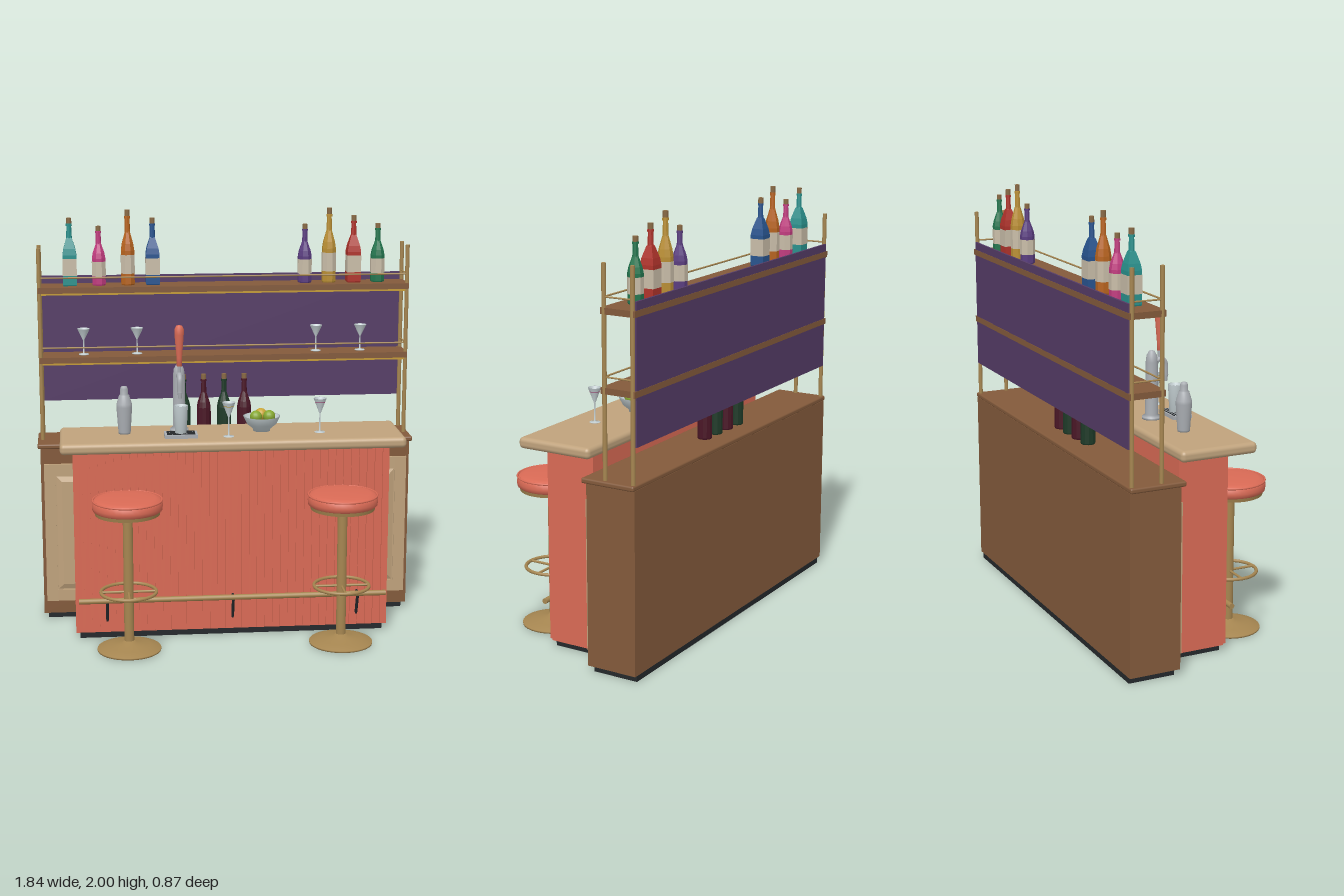
import * as THREE from 'three';
import { RoundedBoxGeometry } from 'three/addons/geometries/RoundedBoxGeometry.js';

const mat = (color, flatShading = false, side = THREE.FrontSide) =>
  new THREE.MeshStandardMaterial({ color, flatShading, side });
const CORAL = mat(0xd96a55), STONE = mat(0xbfa27c), WOOD = mat(0x835a3b), BRASS = mat(0xa58550),
  PURPLE = mat(0x553c66), DARK = mat(0x24282b), STEEL = mat(0xa9adb2), GOLD = mat(0xc39a35),
  CREAM = mat(0xc9bda8, true), CORK = mat(0x8a6a45), GLASS = mat(0xc2cdd0, false, THREE.DoubleSide);

function add(parent, name, geo, material, x = 0, y = 0, z = 0) {
  const m = new THREE.Mesh(geo, material);
  m.name = name;
  m.position.set(x, y, z);
  parent.add(m);
  return m;
}
function group(parent, name, x = 0, y = 0, z = 0) {
  const g = new THREE.Group();
  g.name = name;
  g.position.set(x, y, z);
  parent.add(g);
  return g;
}
// Box given by its limits on each axis
const box = (p, name, m, x0, x1, y0, y1, z0, z1) =>
  add(p, name, new THREE.BoxGeometry(x1 - x0, y1 - y0, z1 - z0), m, (x0 + x1) / 2, (y0 + y1) / 2, (z0 + z1) / 2);
const lathe = (pts, seg = 24) => new THREE.LatheGeometry(pts.map(([r, y]) => new THREE.Vector2(r, y)), seg);
// Round bar between two points
function rod(p, name, m, a, b, r, seg = 10) {
  const A = new THREE.Vector3(...a), d = new THREE.Vector3(...b).sub(A);
  const o = add(p, name, new THREE.CylinderGeometry(r, r, d.length(), seg), m);
  o.position.copy(A).addScaledVector(d, 0.5);
  o.quaternion.setFromUnitVectors(new THREE.Vector3(0, 1, 0), d.normalize());
  return o;
}

// Faceted bottle: square or many-sided body, label, neck and cork
function bottle(parent, x, y, z, h, color, sides, label = true) {
  const g = group(parent, 'bottle', x, y, z), k = sides === 4 ? 1.34 : 1, r = 0.035 * k;
  const m = mat(color, true);
  const body = add(g, 'bottleBody', lathe([[0, 0], [r * 0.93, 0], [r, 0.006], [r, h * 0.46], [r * 0.85, h * 0.55],
    [0.014 * k, h * 0.7], [0.012, h * 0.72], [0, h * 0.72]], sides), m);
  body.rotation.y = Math.PI / sides;
  add(g, 'neck', new THREE.CylinderGeometry(0.011, 0.014, h * 0.26, 8), m, 0, h * 0.8, 0);
  add(g, 'collar', new THREE.CylinderGeometry(0.0145, 0.0145, h * 0.03, 8), m, 0, h * 0.9, 0);
  add(g, 'cork', new THREE.CylinderGeometry(0.0125, 0.0125, h * 0.08, 8), CORK, 0, h * 0.96, 0);
  if (label) {
    const band = add(g, 'label', new THREE.CylinderGeometry(r + 0.001, r + 0.001, h * 0.25, sides, 1, true), CREAM, 0, h * 0.28, 0);
    band.rotation.y = Math.PI / sides;
  }
}

// Stemmed cocktail glass, optionally filled
function cocktailGlass(parent, x, y, z, h, drink) {
  const g = group(parent, 'cocktailGlass', x, y, z);
  add(g, 'glass', lathe([[0, 0], [0.025, 0], [0.025, 0.003], [0.004, 0.008], [0.003, h * 0.55], [0.031, h],
    [0.029, h], [0, h * 0.58]], 20), GLASS);
  if (drink) add(g, 'drink', new THREE.CylinderGeometry(0.025, 0.004, h * 0.28, 20), mat(drink), 0, h * 0.76, 0);
}

function stool(parent, x) {
  const g = group(parent, 'stool', x, 0, 0.27);
  add(g, 'base', lathe([[0, 0], [0.15, 0], [0.15, 0.008], [0.1, 0.022], [0.035, 0.033], [0.024, 0.045], [0, 0.045]], 32), BRASS);
  add(g, 'pole', new THREE.CylinderGeometry(0.023, 0.023, 0.62, 20), BRASS, 0, 0.345, 0);
  add(g, 'seatPlate', lathe([[0, 0.645], [0.065, 0.645], [0.07, 0.668], [0, 0.668]]), DARK);
  add(g, 'seatTrim', new THREE.CylinderGeometry(0.155, 0.15, 0.022, 32), BRASS, 0, 0.672, 0);
  add(g, 'seat', lathe([[0, 0.675], [0.15, 0.675], [0.162, 0.684], [0.164, 0.7], [0.162, 0.72],
    [0.152, 0.732], [0.13, 0.738], [0.07, 0.742], [0, 0.743]], 36), CORAL);
  const piping = add(g, 'seatPiping', new THREE.TorusGeometry(0.16, 0.005, 8, 36), CORAL, 0, 0.728, 0);
  const ring = add(g, 'footRing', new THREE.TorusGeometry(0.13, 0.008, 8, 36), BRASS, 0, 0.283, 0);
  piping.rotation.x = ring.rotation.x = Math.PI / 2;
  rod(g, 'ringSpoke', BRASS, [-0.13, 0.283, 0], [0.13, 0.283, 0], 0.006);
  rod(g, 'ringSpoke', BRASS, [0, 0.283, -0.13], [0, 0.283, 0.13], 0.006);
}

function barCounter(root) {
  const g = group(root, 'barCounter');
  box(g, 'plinth', DARK, -0.73, 0.73, 0, 0.035, -0.115, 0.1);
  box(g, 'body', CORAL, -0.75, 0.75, 0.03, 0.94, -0.123, 0.11);
  const n = 40, pitch = 1.5 / n;
  for (let i = 0; i < n; i++) {
    const x = -0.75 + pitch * (i + 0.5);
    box(g, 'slat', CORAL, x - 0.0145, x + 0.0145, 0.035, 0.935, 0.105, 0.123);
  }
  add(g, 'countertop', new RoundedBoxGeometry(1.615, 0.052, 0.375, 4, 0.02), STONE, 0, 0.96, 0.05);
  // Foot rail on angled brackets
  rod(g, 'footRail', BRASS, [-0.735, 0.203, 0.16], [0.735, 0.203, 0.16], 0.013, 16);
  for (const x of [-0.6, 0, 0.6]) {
    rod(g, 'railBracket', DARK, [x, 0.2, 0.16], [x, 0.09, 0.118], 0.007);
    rod(g, 'railBracket', DARK, [x, 0.203, 0.16], [x, 0.203, 0.118], 0.007);
  }
}

function backCabinet(root) {
  const g = group(root, 'backCabinet');
  box(g, 'plinth', DARK, -0.885, 0.885, 0, 0.03, -0.43, -0.21);
  box(g, 'carcass', WOOD, -0.905, 0.905, 0.03, 0.87, -0.434, -0.19);
  add(g, 'cabinetTop', new RoundedBoxGeometry(1.835, 0.024, 0.265, 2, 0.008), WOOD, 0, 0.88, -0.3025);
  [-0.675, -0.225, 0.225, 0.675].forEach((x) => {
    const d = group(g, 'door', x, 0.443, -0.19);
    box(d, 'doorPanel', STONE, -0.215, 0.215, -0.347, 0.347, 0, 0.008);
    // Raised centre with sloping edges
    const raised = new THREE.BoxGeometry(0.32, 0.58, 0.012), p = raised.attributes.position;
    for (let i = 0; i < p.count; i++)
      if (p.getZ(i) > 0) p.setXY(i, p.getX(i) - Math.sign(p.getX(i)) * 0.03, p.getY(i) - Math.sign(p.getY(i)) * 0.03);
    raised.computeVertexNormals();
    add(d, 'raisedPanel', raised, STONE, 0, 0, 0.012);
    for (const s of [-1, 1]) {
      box(d, 'doorMoulding', STONE, s * 0.1875 - 0.0275, s * 0.1875 + 0.0275, -0.347, 0.347, 0.004, 0.014);
      box(d, 'doorMoulding', STONE, -0.16, 0.16, s * 0.3185 - 0.0285, s * 0.3185 + 0.0285, 0.004, 0.014);
    }
    const kx = x < 0 ? 0.16 : -0.16;
    rod(d, 'knobStem', DARK, [kx, 0.11, 0.01], [kx, 0.11, 0.026], 0.004);
    add(d, 'knob', new THREE.SphereGeometry(0.009, 12, 8), DARK, kx, 0.11, 0.028);
  });
}

function shelving(root) {
  const g = group(root, 'shelving');
  for (const x of [-0.893, 0.893]) for (const z of [-0.28, -0.42])
    rod(g, 'post', BRASS, [x, 0.89, z], [x, 1.825, z], 0.01, 12);
  box(g, 'backPanel', PURPLE, -0.885, 0.885, 1.055, 1.675, -0.434, -0.424);
  for (const y of [1.27, 1.61]) {
    box(g, 'shelf', WOOD, -0.9, 0.9, y, y + 0.028, -0.4355, -0.265);
    box(g, 'shelfTrim', GOLD, -0.885, 0.885, y - 0.009, y, -0.277, -0.268);
    // Gallery rail around the shelf
    const r = y + 0.073;
    rod(g, 'galleryRail', BRASS, [-0.893, r, -0.28], [0.893, r, -0.28], 0.004);
    for (const x of [-0.893, 0.893]) rod(g, 'galleryRail', BRASS, [x, r, -0.28], [x, r, -0.42], 0.004);
  }
  [[-0.745, 0.325, 0x2a918d, 4], [-0.605, 0.285, 0xc23c80, 8], [-0.465, 0.362, 0xb8641f, 8], [-0.345, 0.322, 0x28548f, 4],
    [0.398, 0.285, 0x5a3d80, 8], [0.517, 0.362, 0xba8f34, 8], [0.638, 0.325, 0xb0332b, 4], [0.758, 0.285, 0x23764f, 8]]
    .forEach(([x, h, c, s]) => bottle(g, x, 1.638, -0.35, h, c, s));
  [-0.685, -0.425, 0.457, 0.677].forEach((x) => cocktailGlass(g, x, 1.298, -0.345, 0.128));
  [-0.202, -0.102, -0.002, 0.098].forEach((x, i) =>
    bottle(g, x, 0.892, -0.31, 0.305, i % 2 ? 0x4a1626 : 0x1e3a28, 12, false));
}

function beerTap(root) {
  const g = group(root, 'beerTap', -0.243, 0.985, 0);
  box(g, 'dripTray', STEEL, -0.077, 0.077, 0, 0.018, 0.07, 0.165);
  for (let i = 0; i < 6; i++) box(g, 'trayGrille', DARK, -0.066, 0.066, 0.017, 0.02, 0.078 + i * 0.014, 0.083 + i * 0.014);
  add(g, 'column', lathe([[0, 0], [0.045, 0], [0.045, 0.012], [0.03, 0.022], [0.028, 0.27], [0.024, 0.3], [0.013, 0.32], [0, 0.325]]), STEEL, 0, 0, -0.005);
  const path = new THREE.CatmullRomCurve3([[0, 0.25, 0], [0, 0.28, 0.035], [0, 0.265, 0.06], [0, 0.2, 0.066]].map((v) => new THREE.Vector3(...v)));
  add(g, 'spout', new THREE.TubeGeometry(path, 20, 0.013, 12), STEEL);
  add(g, 'nozzle', new THREE.CylinderGeometry(0.012, 0.009, 0.035, 14), STEEL, 0, 0.19, 0.066);
  rod(g, 'handleStem', STEEL, [0, 0.27, 0.035], [0, 0.34, 0.035], 0.009);
  add(g, 'handle', lathe([[0, 0.32], [0.012, 0.32], [0.013, 0.36], [0.022, 0.47], [0.022, 0.495], [0.014, 0.512], [0, 0.515]], 20), CORAL, 0, 0, 0.035);
  add(g, 'tumbler', lathe([[0, 0.02], [0.027, 0.02], [0.034, 0.15], [0.031, 0.15], [0.025, 0.13], [0, 0.13]]), GLASS, 0, 0, 0.117);
}

function barware(root) {
  const g = group(root, 'barware');
  add(g, 'shaker', lathe([[0, 0], [0.028, 0], [0.029, 0.01], [0.037, 0.13], [0.036, 0.145], [0.024, 0.185], [0.018, 0.19],
    [0.018, 0.215], [0.014, 0.226], [0, 0.23]]), STEEL, -0.503, 0.985, 0.027);
  cocktailGlass(g, -0.02, 0.985, 0.138, 0.165, 0xd9a92c);
  cocktailGlass(g, 0.417, 0.985, 0.087, 0.165, 0xb02a6a);
  const f = group(g, 'fruitBowl', 0.147, 0.985, 0.026);
  add(f, 'bowl', lathe([[0, 0], [0.04, 0], [0.042, 0.012], [0.07, 0.035], [0.088, 0.072], [0.082, 0.072], [0.062, 0.04], [0, 0.022]], 28), GLASS);
  [[0, 0.073, -0.032, 0xc9a535], [-0.03, 0.073, 0.022, 0x86a830], [0.034, 0.073, 0.016, 0x86a830]].forEach(([x, y, z, c]) =>
    add(f, 'fruit', new THREE.SphereGeometry(0.029, 16, 12), mat(c), x, y, z));
}

export function createModel() {
  const root = new THREE.Group();
  root.name = 'cocktailBar';
  barCounter(root);
  backCabinet(root);
  shelving(root);
  beerTap(root);
  barware(root);
  for (const x of [-0.502, 0.502]) stool(root, x);
  return root;
}
